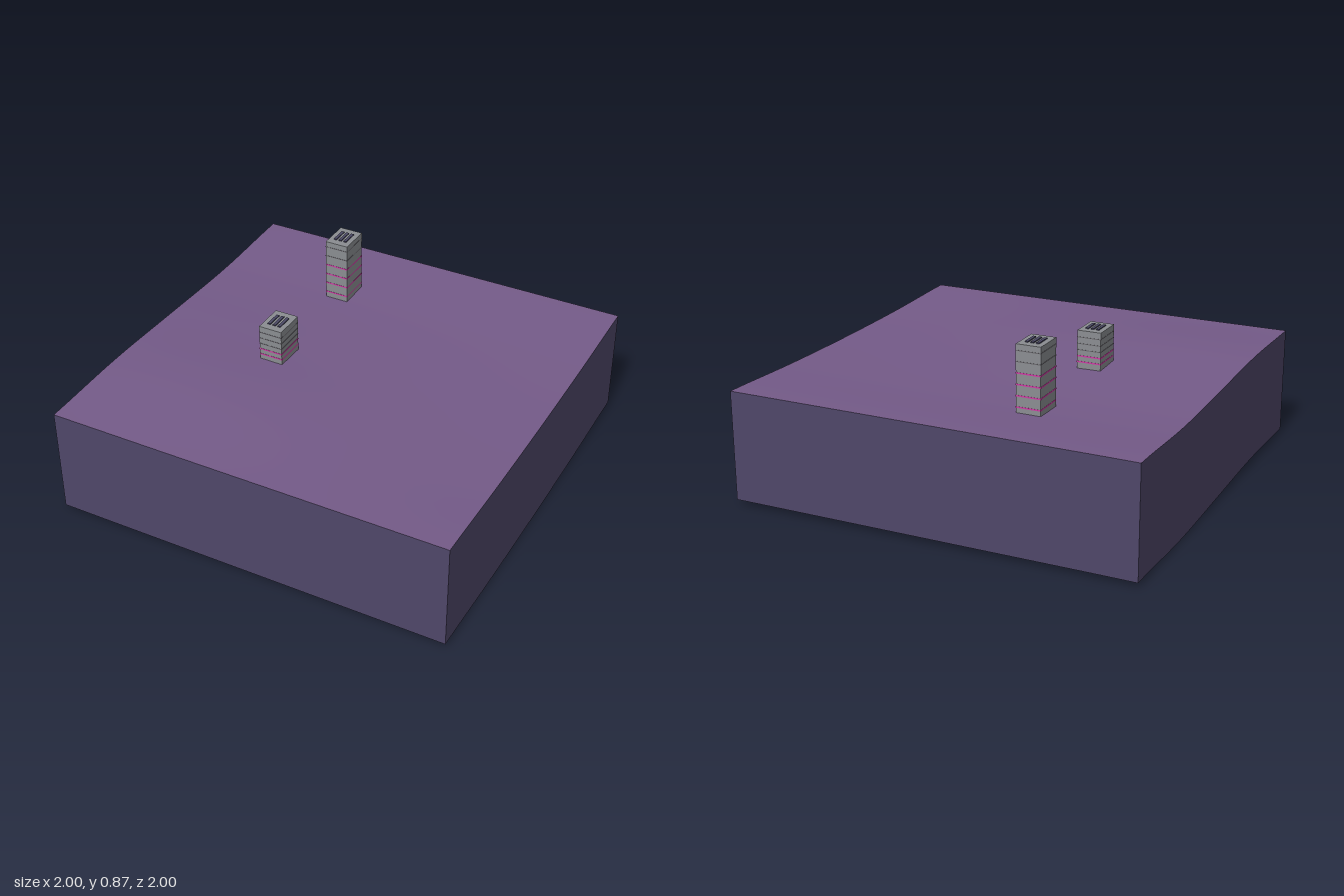
import * as THREE from 'three';

const mat = (name, color, side = THREE.FrontSide) => {
  const m = new THREE.MeshStandardMaterial({ color, side });
  m.name = name;
  return m;
};

// Ground height along z on the left and right of the plot, blended across x
const spline = (ys) => new THREE.SplineCurve(ys.map((y, i) => new THREE.Vector2(-1 + i * 0.5, y)));
const westRidge = spline([0.557, 0.540, 0.552, 0.569, 0.553]);
const eastDip = spline([0.557, 0.541, 0.535, 0.539, 0.554]);
const DEPTH = 0.534;

function height(x, z) {
  const t = THREE.MathUtils.clamp((z + 1) / 2, 0, 1);
  const a = westRidge.getPoint(t).y, b = eastDip.getPoint(t).y;
  const edge = Math.max(0, (-0.7 - x) / 0.3);
  const bump = Math.max(0, a - 0.553) / 0.016;
  return THREE.MathUtils.lerp(a, b, THREE.MathUtils.smoothstep(x, -0.7, 1)) - 0.004 * edge * edge * bump;
}

export function createModel() {
  const root = new THREE.Group();
  root.name = 'terrainPlot';

  const ground = mat('purpleGround', 0x755b89, THREE.DoubleSide);
  const earth = mat('darkPurpleWall', 0x4f4769, THREE.DoubleSide);
  const concrete = mat('greyConcrete', 0x8b8e92);
  const vent = mat('slateVent', 0x4a4864);
  const pink = mat('pinkTrim', 0xd03aa6);
  const seam = mat('darkGreySeam', 0x6c6a70);

  const add = (parent, name, geometry, material) => {
    const mesh = new THREE.Mesh(geometry, material);
    mesh.name = name;
    parent.add(mesh);
    return mesh;
  };

  // Gently rolling ground surface
  const top = new THREE.PlaneGeometry(2, 2, 32, 32).rotateX(-Math.PI / 2);
  const tp = top.attributes.position;
  for (let i = 0; i < tp.count; i++) tp.setY(i, height(tp.getX(i), tp.getZ(i)));
  top.computeVertexNormals();
  add(root, 'ground', top, ground);

  // Four skirt walls following the ground, open underneath
  ['frontWall', 'leftWall', 'backWall', 'rightWall'].forEach((name, side) => {
    const wall = new THREE.PlaneGeometry(2, 1, 32, 1).translate(0, 0, 1).rotateY(side * Math.PI / 2);
    const p = wall.attributes.position;
    for (let i = 0; i < p.count; i++) {
      const h = height(p.getX(i), p.getZ(i));
      p.setY(i, p.getY(i) > 0 ? h : h - DEPTH);
    }
    add(root, name, wall, earth);
  });

  // Tower block with thin floor bands and three roof vents
  const W = 0.12, D = 0.16;
  function tower(name, z, base, roof, pinkBands, greyBands) {
    const g = new THREE.Group();
    g.name = name;
    g.position.set(-0.336, 0, z);
    root.add(g);
    const body = add(g, 'towerBody', new THREE.BoxGeometry(W, roof - base, D), concrete);
    body.position.y = (roof + base) / 2;
    const band = (y, label, material, h) => {
      add(g, label, new THREE.BoxGeometry(W + 0.002, h, D + 0.002), material).position.y = y;
    };
    pinkBands.forEach((y) => band(y, 'pinkFloorBand', pink, 0.007));
    greyBands.forEach((y) => band(y, 'greyFloorBand', seam, 0.004));
    for (const x of [-0.027, 0, 0.027]) {
      add(g, 'roofVent', new THREE.BoxGeometry(0.015, 0.006, 0.085), vent).position.set(x, roof + 0.002, 0);
    }
  }
  tower('shortTower', 0.082, 0.54, 0.738, [0.583, 0.612], [0.642, 0.673, 0.705]);
  tower('tallTower', -0.582, 0.534, 0.862, [0.571, 0.624, 0.676, 0.729], [0.781, 0.832]);

  return root;
}
